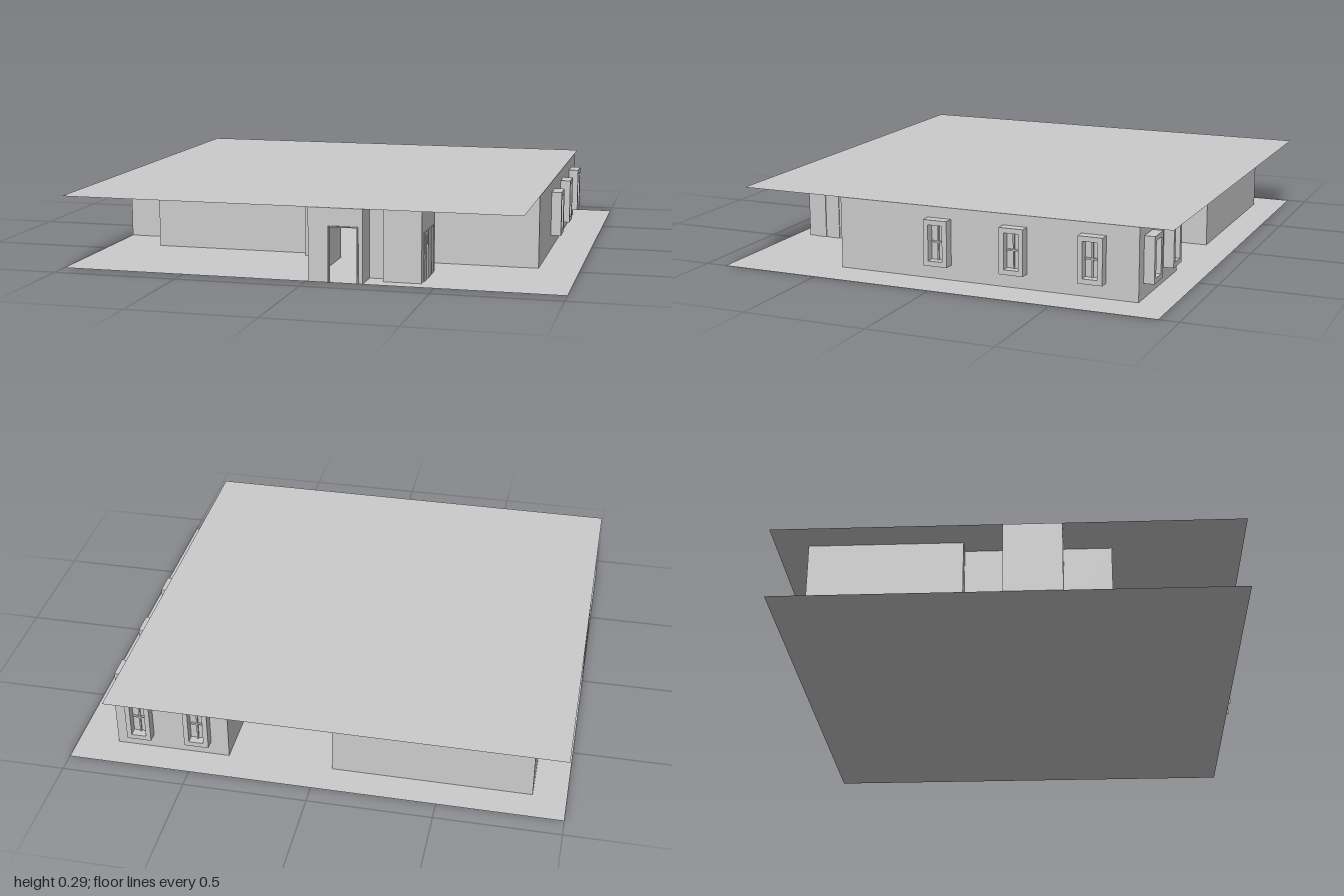
import * as THREE from 'three';

const H = 0.29; // storey height
const T = 0.008; // wall thickness
const mat = new THREE.MeshStandardMaterial({ color: 0xcccccc, side: THREE.DoubleSide });

function box(parent, name, x0, x1, y0, y1, z0, z1) {
  const mesh = new THREE.Mesh(new THREE.BoxGeometry(x1 - x0, y1 - y0, z1 - z0), mat);
  mesh.name = name;
  mesh.position.set((x0 + x1) / 2, (y0 + y1) / 2, (z0 + z1) / 2);
  parent.add(mesh);
  return mesh;
}

// horizontal sheet for floor and ceiling
function slab(parent, name, x0, x1, y, z0, z1) {
  const mesh = new THREE.Mesh(new THREE.PlaneGeometry(x1 - x0, z1 - z0).rotateX(-Math.PI / 2), mat);
  mesh.name = name;
  mesh.position.set((x0 + x1) / 2, y, (z0 + z1) / 2);
  parent.add(mesh);
}

// projecting window: a deep frame around a recessed pane, facing +z
function makeWindow() {
  const win = new THREE.Group();
  win.name = 'window';
  const w = 0.05, h = 0.0925, b = 0.02, d = 0.042;
  const rect = (Path, a, c) => new Path([
    new THREE.Vector2(-a, -c), new THREE.Vector2(a, -c),
    new THREE.Vector2(a, c), new THREE.Vector2(-a, c)]);
  const outline = rect(THREE.Shape, w, h);
  outline.holes.push(rect(THREE.Path, w - b, h - b));
  const frame = new THREE.Mesh(new THREE.ExtrudeGeometry(outline, { depth: d, bevelEnabled: false }), mat);
  frame.name = 'windowFrame';
  win.add(frame);
  box(win, 'windowPane', b - w, w - b, b - h, h - b, 0, 0.006);
  box(win, 'windowMullion', -0.003, 0.003, b - h, h - b, 0.006, 0.014);
  box(win, 'windowTransom', b - w, w - b, -0.003, 0.003, 0.006, 0.014);
  return win;
}

// outer wall line as x, z corners, clockwise seen from above
const plan = [
  [0.835, -0.79], [0.835, 0.466], [0.40, 0.466], [0.40, 0.6], [0.44, 0.6], [0.44, 0.85],
  [0.29, 0.85], [0.29, 0.8], [0.225, 0.8], [0.225, 0.912], [0.01, 0.912], [0.01, 0.45],
  [-0.135, 0.45], [-0.135, 0.4], [-0.795, 0.4], [-0.795, 0.21], [-1, 0.21], [-1, -0.02],
  [-0.795, -0.02], [-0.795, -0.18], [-0.865, -0.18], [-0.865, -0.79], [-0.06, -0.79],
  [-0.06, -0.53], [0.13, -0.53], [0.13, -0.3], [0.367, -0.3], [0.367, -0.79],
];
const ENTRY = 9; // wall segment holding the doorway

export function createModel() {
  const model = new THREE.Group();
  model.name = 'house';

  slab(model, 'floor', -1, 1, 0, -0.92, 0.912);
  slab(model, 'ceiling', -1, 0.835, H, -0.92, 0.915);

  // walls, thickened towards the inside
  const walls = new THREE.Group();
  walls.name = 'walls';
  model.add(walls);
  plan.forEach(([ax, az], i) => {
    if (i === ENTRY) return;
    const [bx, bz] = plan[(i + 1) % plan.length];
    const ix = -Math.sign(bz - az) * T, iz = Math.sign(bx - ax) * T;
    box(walls, 'wall', Math.min(ax, bx, ax + ix), Math.max(ax, bx, ax + ix),
      0, H, Math.min(az, bz, az + iz), Math.max(az, bz, az + iz));
  });

  // entrance wall around the doorway
  const entrance = new THREE.Group();
  entrance.name = 'entrance';
  model.add(entrance);
  const z = 0.912;
  box(entrance, 'entranceWallRight', 0.01, 0.09, 0, H, z - T, z);
  box(entrance, 'entranceWallLeft', 0.208, 0.225, 0, H, z - T, z);
  box(entrance, 'entranceLintel', 0.09, 0.208, 0.22, H, z - T, z);
  for (const x of [0.09, 0.204]) box(entrance, 'doorJamb', x, x + 0.004, 0, 0.22, z - T, z + 0.008);
  box(entrance, 'doorHead', 0.09, 0.208, 0.216, 0.22, z - T, z + 0.008);

  // headers over the recessed bays beside the entrance
  box(model, 'bayHeader', -0.135, 0.01, 0.275, H, 0.45, 0.456);
  box(model, 'bayHeader', 0.225, 0.29, 0.275, H, 0.8, 0.806);

  // panels on the side wall next to the entrance
  for (const c of [0.66, 0.725, 0.79]) box(model, 'sidePanel', 0.44, 0.444, 0, 0.19, c - 0.022, c + 0.022);

  // windows on the left side and the back
  for (const wz of [0.03, -0.29, -0.61]) {
    const win = makeWindow();
    win.position.set(0.835, 0.1525, wz);
    win.rotation.y = Math.PI / 2;
    model.add(win);
  }
  for (const wx of [0.73, 0.49]) {
    const win = makeWindow();
    win.position.set(wx, 0.1525, -0.79);
    win.rotation.y = Math.PI;
    model.add(win);
  }
  return model;
}
